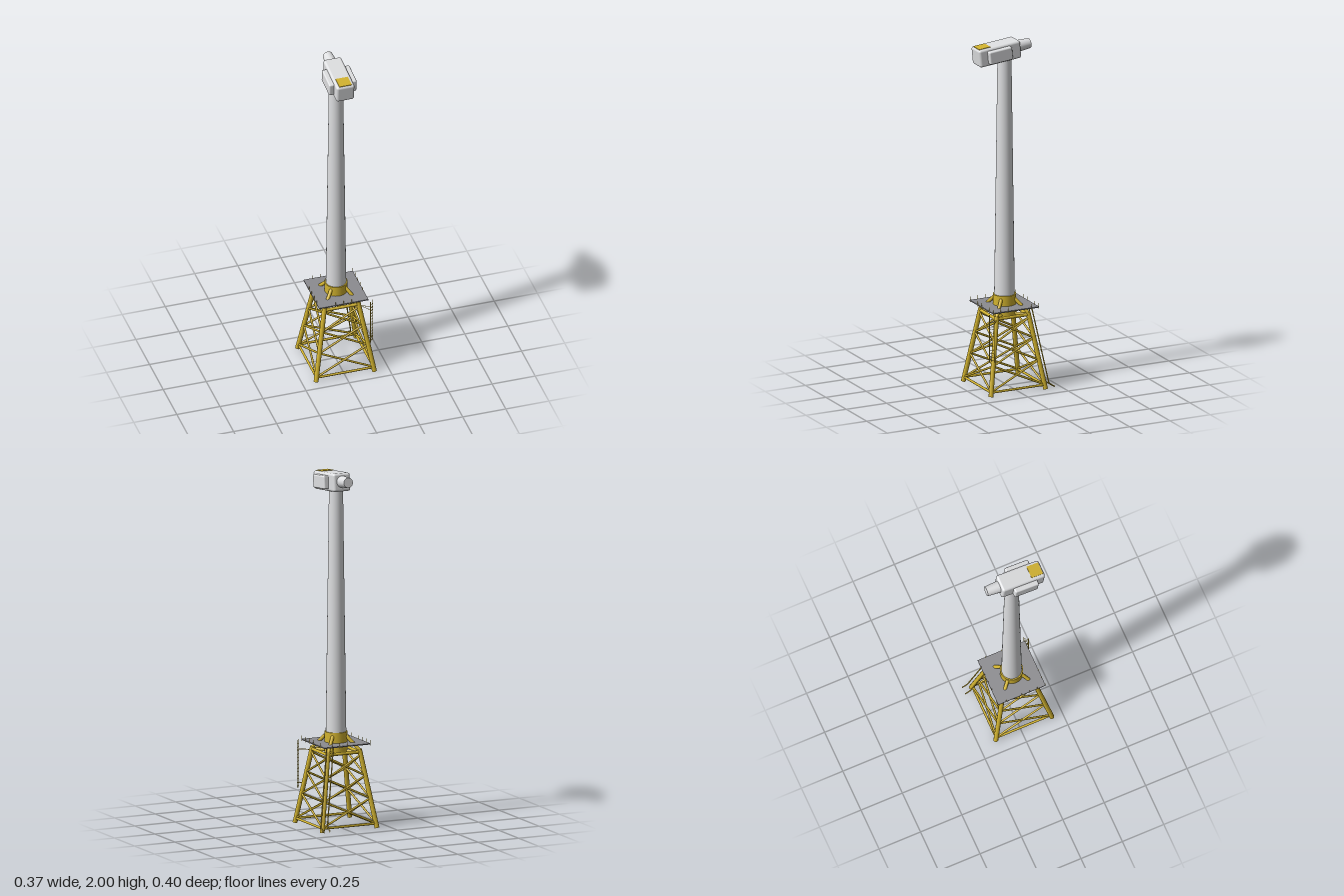
import * as THREE from 'three';
import { RoundedBoxGeometry } from 'three/addons/geometries/RoundedBoxGeometry.js';

export function createModel() {
  const mat = (name, color) => {
    const m = new THREE.MeshStandardMaterial({ color });
    m.name = name;
    return m;
  };
  const yellow = mat('safety yellow', 0xd2b32f);
  const white = mat('light grey paint', 0xdedfe1);
  const grey = mat('deck grey', 0x8c8c90);

  const model = new THREE.Group();
  model.name = 'turbineTower';
  model.position.set(-0.003, 0, 0.018);

  const V = (x, y, z) => new THREE.Vector3(x, y, z);
  const group = (name, parent = model) => {
    const g = new THREE.Group();
    g.name = name;
    parent.add(g);
    return g;
  };
  const add = (parent, name, geo, material, x = 0, y = 0, z = 0) => {
    const m = new THREE.Mesh(geo, material);
    m.name = name;
    m.position.set(x, y, z);
    parent.add(m);
    return m;
  };
  // Straight round bar between two points
  const bar = (parent, name, a, b, r, sides = 8, material = yellow) => {
    const d = b.clone().sub(a);
    const m = add(parent, name, new THREE.CylinderGeometry(r, r, d.length(), sides), material);
    m.position.copy(a).add(b).multiplyScalar(0.5);
    m.quaternion.setFromUnitVectors(V(0, 1, 0), d.normalize());
    return m;
  };

  // Jacket: four battered legs, X braces and horizontal frames
  const jacket = group('jacket');
  const corners = [[1, 1], [1, -1], [-1, -1], [-1, 1]];
  const legAt = (i, y) => {
    const s = 0.17 - 0.166 * y, [cx, cz] = corners[i % 4];
    return V(cx * s, y, cz * s);
  };
  const levels = [0.03, 0.17, 0.295, 0.41];
  for (let i = 0; i < 4; i++) {
    bar(jacket, 'leg', legAt(i, 0.004), legAt(i, 0.44), 0.0135, 10);
    for (let k = 0; k < 3; k++) {
      bar(jacket, 'crossBrace', legAt(i, levels[k]), legAt(i + 1, levels[k + 1]), 0.006);
      bar(jacket, 'crossBrace', legAt(i + 1, levels[k]), legAt(i, levels[k + 1]), 0.006);
    }
    bar(jacket, 'bottomBeam', legAt(i, 0.028), legAt(i + 1, 0.028), 0.007);
    bar(jacket, 'topBeam', legAt(i, 0.425), legAt(i + 1, 0.425), 0.009);
    // Struts from the leg tops through the deck to the collar
    const [cx, cz] = corners[i];
    bar(jacket, 'collarStrut', legAt(i, 0.435), V(cx * 0.04, 0.515, cz * 0.04), 0.01, 10);
    // Short radial beams under the collar
    bar(jacket, 'radialBeam', legAt(i, 0.425), V(cx * 0.03, 0.425, cz * 0.03), 0.009);
  }

  // Transition collar and tower
  add(model, 'collar', new THREE.CylinderGeometry(0.064, 0.064, 0.125, 32), yellow, 0, 0.4725);
  add(model, 'tower', new THREE.CylinderGeometry(0.039, 0.057, 1.37, 40), white, 0, 1.215);

  // Work deck with thin posts around its rim
  const deck = group('workDeck');
  add(deck, 'deckPlate', new THREE.BoxGeometry(0.286, 0.006, 0.286), grey, 0, 0.474, 0);
  const n = 6, half = 0.141;
  for (let side = 0; side < 4; side++) {
    for (let k = 0; k < n; k++) {
      const p = V(-half + (2 * half * k) / n, 0, half).applyAxisAngle(V(0, 1, 0), side * Math.PI / 2);
      bar(deck, 'railPost', V(p.x, 0.465, p.z), V(p.x, 0.497, p.z), 0.001, 5);
    }
  }

  // Access ladder set diagonally at one front corner
  const ladder = group('ladder');
  ladder.position.set(0.157, 0, 0.157);
  ladder.rotation.y = Math.PI / 4;
  for (const x of [-0.014, 0.014]) {
    bar(ladder, 'ladderRail', V(x, 0.2, 0), V(x, 0.472, 0), 0.002, 6);
    for (const y of [0.23, 0.42]) {
      bar(ladder, 'ladderBracket', V(x, y, 0), V(0, y, -0.222 + 1.414 * (0.17 - 0.166 * y)), 0.0015, 6);
    }
  }
  for (let y = 0.21; y < 0.47; y += 0.02) {
    bar(ladder, 'ladderRung', V(-0.014, y, 0), V(0.014, y, 0), 0.0013, 5);
  }

  // Cable tubes running down beside the rear leg and kicking outward
  for (const x of [0.143, 0.184]) {
    const path = new THREE.CurvePath();
    const pts = [V(x - 0.072, 0.472, -0.111), V(x - 0.002, 0.055, -0.18), V(x, 0.035, -0.187), V(x, 0.016, -0.218)];
    path.add(new THREE.LineCurve3(pts[0], pts[1]));
    path.add(new THREE.QuadraticBezierCurve3(pts[1], V(x, 0.04, -0.183), pts[2]));
    path.add(new THREE.LineCurve3(pts[2], pts[3]));
    add(model, 'cableTube', new THREE.TubeGeometry(path, 40, 0.0035, 8), yellow);
  }

  // Nacelle, tilted so the shaft end sits higher
  const nacelle = group('nacelle');
  nacelle.position.set(0, 1.938, 0.05);
  nacelle.rotation.x = 0.1;
  add(nacelle, 'housing', new RoundedBoxGeometry(0.105, 0.102, 0.258, 4, 0.014), white);
  for (const s of [-1, 1]) {
    add(nacelle, 'sidePod', new RoundedBoxGeometry(0.036, 0.074, 0.142, 4, 0.008), white, s * 0.062, 0, 0.008);
  }
  add(nacelle, 'roofPad', new THREE.BoxGeometry(0.072, 0.004, 0.07), yellow, 0, 0.0515, 0.085);
  const shaft = add(nacelle, 'shaftHousing', new THREE.CylinderGeometry(0.028, 0.034, 0.085, 32), white, 0, 0.004, -0.163);
  shaft.rotation.x = -Math.PI / 2;

  const root = new THREE.Group();
  root.name = 'windTurbine';
  root.add(model);
  return root;
}
